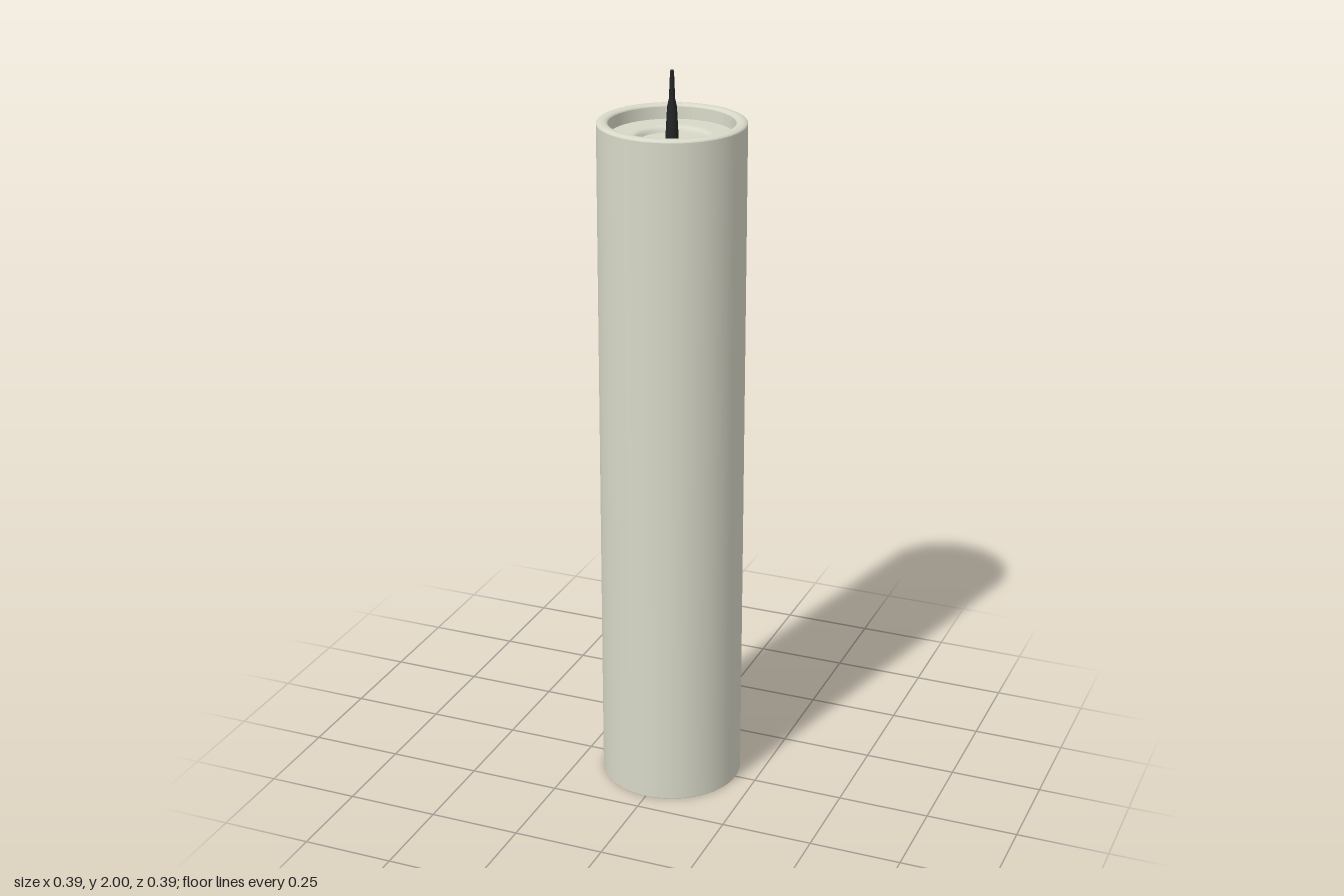
import * as THREE from 'three';

export function createModel() {
  const wax = new THREE.MeshStandardMaterial({ color: 0xd8d8c8 });
  wax.name = 'ivory wax';
  const char = new THREE.MeshStandardMaterial({ color: 0x222425 });
  char.name = 'charred wick';

  const model = new THREE.Group();
  model.name = 'candle';

  // Each turned section is smooth; edges between sections stay sharp.
  const turn = (name, points, material, sides = 64) => {
    const profile = points.map(([r, y]) => new THREE.Vector2(r, y));
    const mesh = new THREE.Mesh(new THREE.LatheGeometry(profile, sides), material);
    mesh.name = name;
    model.add(mesh);
  };

  // Candle body
  turn('base', [[0, 0], [0.192, 0]], wax);
  turn('side', [[0.192, 0], [0.193, 0.002], [0.193, 1.862]], wax);

  // Gently rounded rim, then the inner wall down to the melted surface
  const rim = [];
  for (let i = 0; i <= 10; i++) {
    const a = (i / 10) * Math.PI;
    rim.push([0.178 + 0.015 * Math.cos(a), 1.862 + 0.007 * Math.sin(a)]);
  }
  turn('rim', rim, wax);
  turn('innerWall', [[0.163, 1.862], [0.162, 1.83]], wax);

  // Melted surface curving softly into the central well
  turn('meltedTop', [
    [0.162, 1.83], [0.11, 1.83], [0.1, 1.829], [0.094, 1.826],
    [0.09, 1.821], [0.087, 1.814],
  ], wax);
  turn('wellFloor', [[0.087, 1.814], [0, 1.814]], wax);

  // Tapered wick
  turn('wick', [
    [0.0175, 1.812], [0.015, 1.86], [0.0125, 1.905], [0.008, 1.925], [0.005, 1.996],
  ], char, 16);
  turn('wickTip', [[0.005, 1.996], [0.004, 1.999], [0, 2]], char, 16);

  return model;
}
